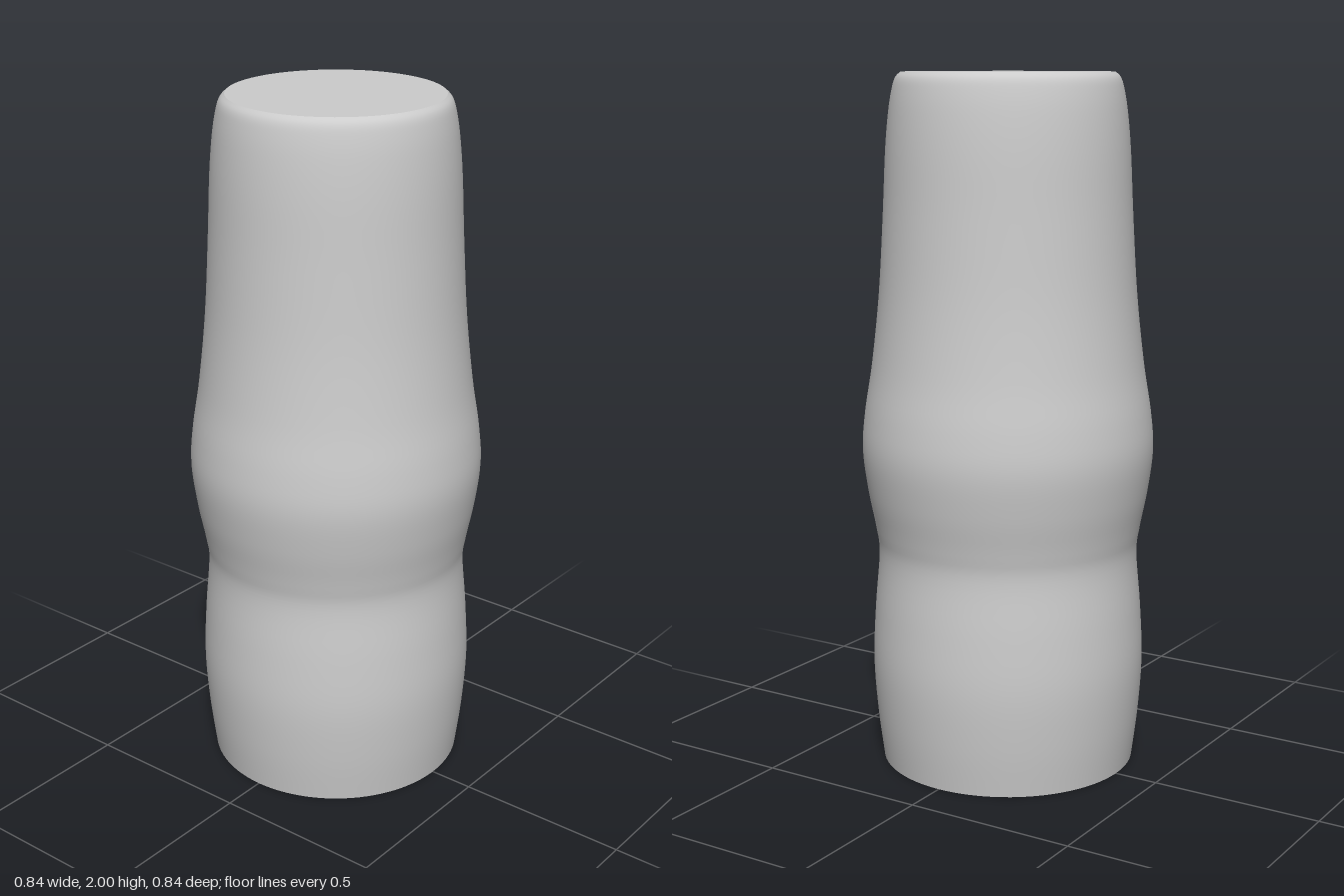
import * as THREE from 'three';

export function createModel() {
  const group = new THREE.Group();
  group.name = 'contouredGrip';
  const material = new THREE.MeshStandardMaterial({ color: 0xcccccc });
  const segments = 96;

  // Silhouette from the base up: lower swell, waist, middle bulge, taper, rounded rim
  const profile = new THREE.SplineCurve([
    [0.37, 0], [0.387, 0.14], [0.397, 0.3], [0.39, 0.46], [0.377, 0.62],
    [0.386, 0.7], [0.407, 0.81], [0.421, 0.93], [0.413, 1.04], [0.391, 1.18],
    [0.369, 1.38], [0.355, 1.6], [0.346, 1.78], [0.336, 1.89],
    [0.325, 1.955], [0.315, 1.985], [0.3, 2],
  ].map(([r, y]) => new THREE.Vector2(r, y)));

  const body = new THREE.Mesh(new THREE.LatheGeometry(profile.getPoints(80), segments), material);
  body.name = 'body';
  group.add(body);

  // Flat end faces
  const addCap = (name, radius, y, tilt) => {
    const cap = new THREE.Mesh(new THREE.CircleGeometry(radius, segments), material);
    cap.name = name;
    cap.rotation.x = tilt;
    cap.position.y = y;
    group.add(cap);
  };
  addCap('topFace', 0.3, 2, -Math.PI / 2);
  addCap('bottomFace', 0.37, 0, Math.PI / 2);

  return group;
}
